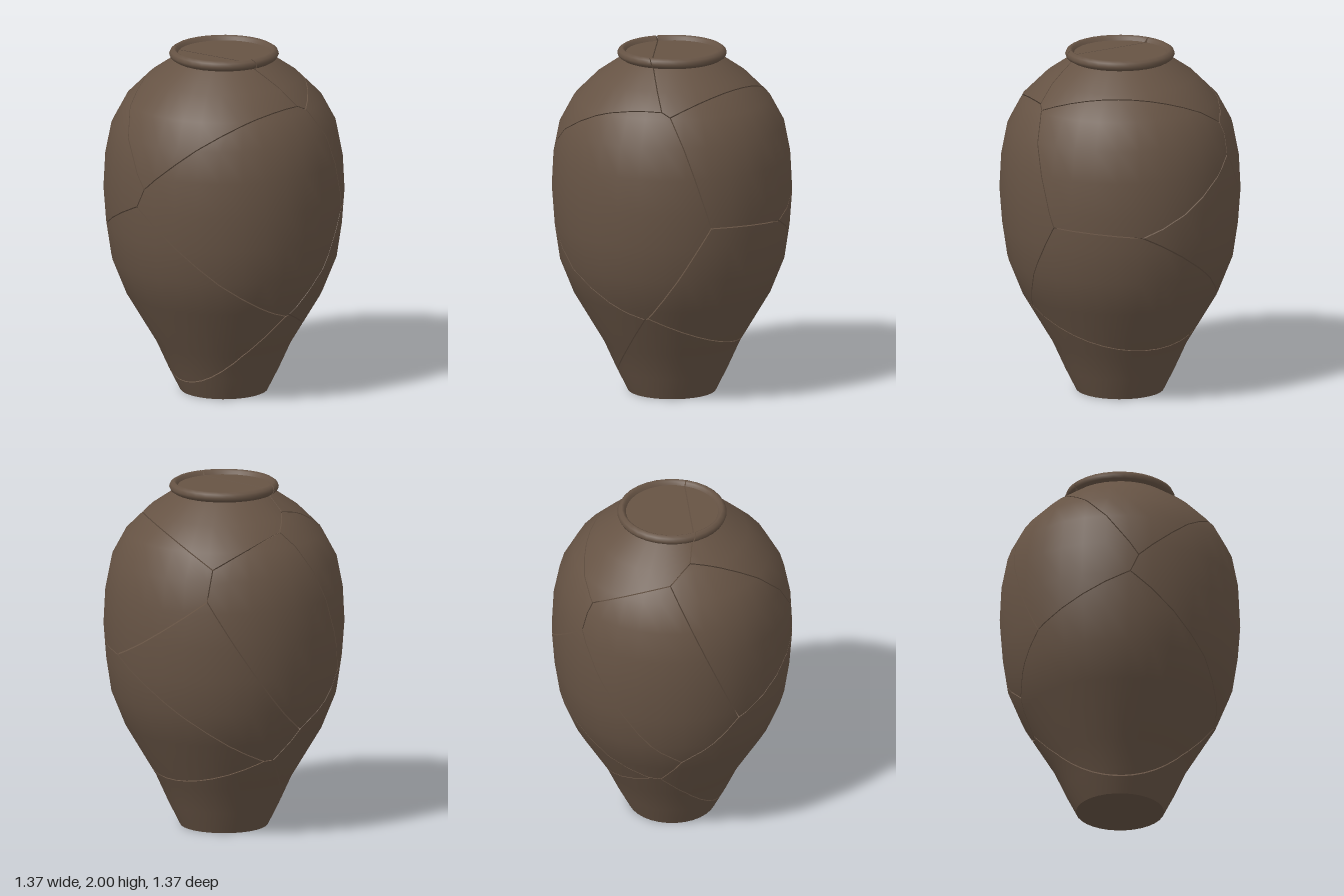
import * as THREE from 'three';

const SIDES = 32;
const GAP = 0.003; // half the width of a crack
const BODY = [[0.25, 0], [0.315, 0.13], [0.387, 0.29], [0.56, 0.58], [0.64, 0.78], [0.67, 0.98], [0.685, 1.18],
  [0.675, 1.38], [0.64, 1.56], [0.56, 1.71], [0.43, 1.84], [0.285, 1.94]];
const RIM = [[0.285, 1.94], [0.304, 1.952], [0.312, 1.97], [0.304, 1.988], [0.286, 2], [0.272, 1.992], [0.262, 1.974]];
const BASE = [[0, 0], [0.25, 0]];
const MOUTH = [[0.262, 1.974], [0, 1.974]];

// Corners where cracks meet: [degrees round from the front towards +x, height]
const CORNERS = {
  frontHigh: [4, 1.29], frontLow: [1, 1.19], frontSide: [-50, 0.92],
  neckRight: [-68, 1.875], shoulderRight: [-85, 1.79], backHigh: [-132, 1.61], backLow: [-134.5, 1.46],
  shoulderLeft: [99, 1.75], shoulderLeftBack: [104, 1.72], sideLeft: [124, 1.09],
  footLeftBack: [93, 0.54], footLeft: [87, 0.52], backMiddle: [174, 1.05],
  footRight: [-90, 0.47], hipRight: [-81, 0.63], rimLeft: [86, 1.94], rimRight: [-63, 1.94],
};

// Each crack: the two shards it parts, then the points along it
const CRACKS = [
  ['frontTop', 'frontRight', 'neckRight', [-25, 1.72], [-11, 1.55], 'frontHigh'],
  ['frontTop', 'leftSide', 'frontHigh', [17, 1.43], [31, 1.55], [58, 1.7], 'shoulderLeft'],
  ['frontTop', 'backTop', 'shoulderLeft', 'rimLeft', 'rimRight', 'neckRight'],
  ['leftSide', 'frontRight', 'frontHigh', 'frontLow'],
  ['leftSide', 'frontBottom', 'frontLow', [25, 0.96], [51, 0.75], 'footLeft'],
  ['leftSide', 'backTop', 'shoulderLeft', 'shoulderLeftBack'],
  ['leftSide', 'backUpper', 'shoulderLeftBack', [116.5, 1.4], 'sideLeft'],
  ['leftSide', 'backLeft', 'sideLeft', [110, 0.8], 'footLeftBack'],
  ['leftSide', 'foot', 'footLeftBack', 'footLeft'],
  ['frontRight', 'frontBottom', 'frontLow', [-22, 1.06], 'frontSide'],
  ['frontRight', 'rightSide', 'frontSide', [-60, 1.15], [-66, 1.4], [-77, 1.62], 'shoulderRight'],
  ['frontRight', 'backTop', 'neckRight', 'shoulderRight'],
  ['frontBottom', 'rightSide', 'frontSide', [-70, 0.73], 'hipRight'],
  ['frontBottom', 'backRight', 'hipRight', 'footRight'],
  ['frontBottom', 'foot', 'footRight', [0, 0.09], [65, 0.3], 'footLeft'],
  ['backTop', 'rightSide', 'shoulderRight', [-114, 1.71], 'backHigh'],
  ['backTop', 'backUpper', 'shoulderLeftBack', [134, 1.79], [167, 1.82], [203, 1.77], 'backHigh'],
  ['backUpper', 'rightSide', 'backHigh', 'backLow'],
  ['backUpper', 'backLeft', 'sideLeft', 'backMiddle'],
  ['backUpper', 'backRight', 'backLow', [-144, 1.347], 'backMiddle'],
  ['rightSide', 'backRight', 'backLow', [-116.5, 1.08], 'hipRight'],
  ['backLeft', 'backRight', 'backMiddle', [-152, 0.77], [-117, 0.51], 'footRight'],
  ['backLeft', 'foot', 'footLeftBack', [123, 0.4], [158, 0.34], 'footRight'],
];

// Point on the body at an angle and height
function onBody([degrees, y]) {
  const i = Math.max(1, BODY.findIndex((p) => p[1] >= y));
  const [r0, y0] = BODY[i - 1], [r1, y1] = BODY[i];
  const r = r0 + (r1 - r0) * (y - y0) / (y1 - y0);
  const angle = THREE.MathUtils.degToRad(degrees);
  return new THREE.Vector3(r * Math.sin(angle), y, r * Math.cos(angle));
}

// One seed per shard, nudged until each crack lies midway between two seeds
function findSeeds() {
  const outline = {}, links = [];
  for (const [a, b, ...points] of CRACKS) {
    for (const point of points) {
      const p = onBody(typeof point === 'string' ? CORNERS[point] : point);
      links.push([a, b, p]);
      (outline[a] ??= []).push(p);
      (outline[b] ??= []).push(p);
    }
  }
  const seeds = {};
  for (const name in outline) {
    seeds[name] = new THREE.Vector3();
    outline[name].forEach((p) => seeds[name].addScaledVector(p, 1 / outline[name].length));
  }
  const toA = new THREE.Vector3(), toB = new THREE.Vector3();
  const rounds = 5000;
  for (let k = 0; k < rounds; k++) {
    const step = 0.5 * (1 - 0.95 * k / rounds);
    for (const [a, b, p] of links) {
      toA.subVectors(seeds[a], p);
      toB.subVectors(seeds[b], p);
      const move = step * (toB.length() - toA.length()) / 2;
      seeds[a].addScaledVector(toA.normalize(), move);
      seeds[b].addScaledVector(toB.normalize(), -move);
    }
  }
  return seeds;
}

// Closed jar as a list of triangles, each corner with its point and normal
function jarFaces() {
  const faces = [];
  for (const profile of [BASE, BODY, RIM, MOUTH]) {
    const lathe = new THREE.LatheGeometry(profile.map(([r, y]) => new THREE.Vector2(r, y)), SIDES).toNonIndexed();
    const { position, normal } = lathe.attributes;
    for (let i = 0; i < position.count; i += 3) {
      const face = [i, i + 1, i + 2].map((k) => ({
        p: new THREE.Vector3().fromBufferAttribute(position, k),
        n: new THREE.Vector3().fromBufferAttribute(normal, k),
      }));
      if (new THREE.Triangle(...face.map((v) => v.p)).getArea() > 1e-8) faces.push(face);
    }
  }
  return faces;
}

// Keep the part behind a plane and close the cut
function cut(faces, normal, limit) {
  const kept = [], edges = [];
  for (const face of faces) {
    const part = [], ends = [];
    face.forEach((a, i) => {
      const b = face[(i + 1) % face.length];
      const da = normal.dot(a.p) - limit, db = normal.dot(b.p) - limit;
      if (da <= 0) part.push(a);
      if ((da <= 0) !== (db <= 0)) {
        const t = da / (da - db);
        const v = { p: a.p.clone().lerp(b.p, t), n: a.n.clone().lerp(b.n, t).normalize() };
        part.push(v);
        ends.push(v.p);
      }
    });
    if (part.length > 2) kept.push(part);
    if (ends.length === 2) edges.push(ends);
  }
  const centre = new THREE.Vector3();
  edges.forEach(([a, b]) => centre.add(a).add(b));
  centre.divideScalar(Math.max(1, edges.length * 2));
  for (const [a, b] of edges) {
    const facing = a.clone().sub(centre).cross(b.clone().sub(centre)).dot(normal);
    const corners = facing > 0 ? [centre, a, b] : [centre, b, a];
    kept.push(corners.map((p) => ({ p, n: normal })));
  }
  return kept;
}

function toGeometry(faces) {
  const corners = faces.flatMap((f) => f.slice(2).flatMap((v, i) => [f[0], f[i + 1], v]));
  const geometry = new THREE.BufferGeometry();
  const attribute = (key) => new THREE.Float32BufferAttribute(corners.flatMap((v) => v[key].toArray()), 3);
  geometry.setAttribute('position', attribute('p'));
  geometry.setAttribute('normal', attribute('n'));
  return geometry;
}

export function createModel() {
  const clay = new THREE.MeshStandardMaterial({ color: 0x665344 });
  clay.name = 'brown clay';

  const model = new THREE.Group();
  model.name = 'crackedJar';
  const seeds = findSeeds();
  const jar = jarFaces();

  // Solid shards, parted by hairline gaps
  for (const name in seeds) {
    let faces = jar;
    for (const other in seeds) {
      if (other === name) continue;
      const normal = seeds[other].clone().sub(seeds[name]).normalize();
      const middle = seeds[other].clone().add(seeds[name]).multiplyScalar(0.5);
      faces = cut(faces, normal, normal.dot(middle) - GAP);
    }
    const shard = new THREE.Mesh(toGeometry(faces), clay);
    shard.name = name + 'Shard';
    model.add(shard);
  }
  return model;
}
